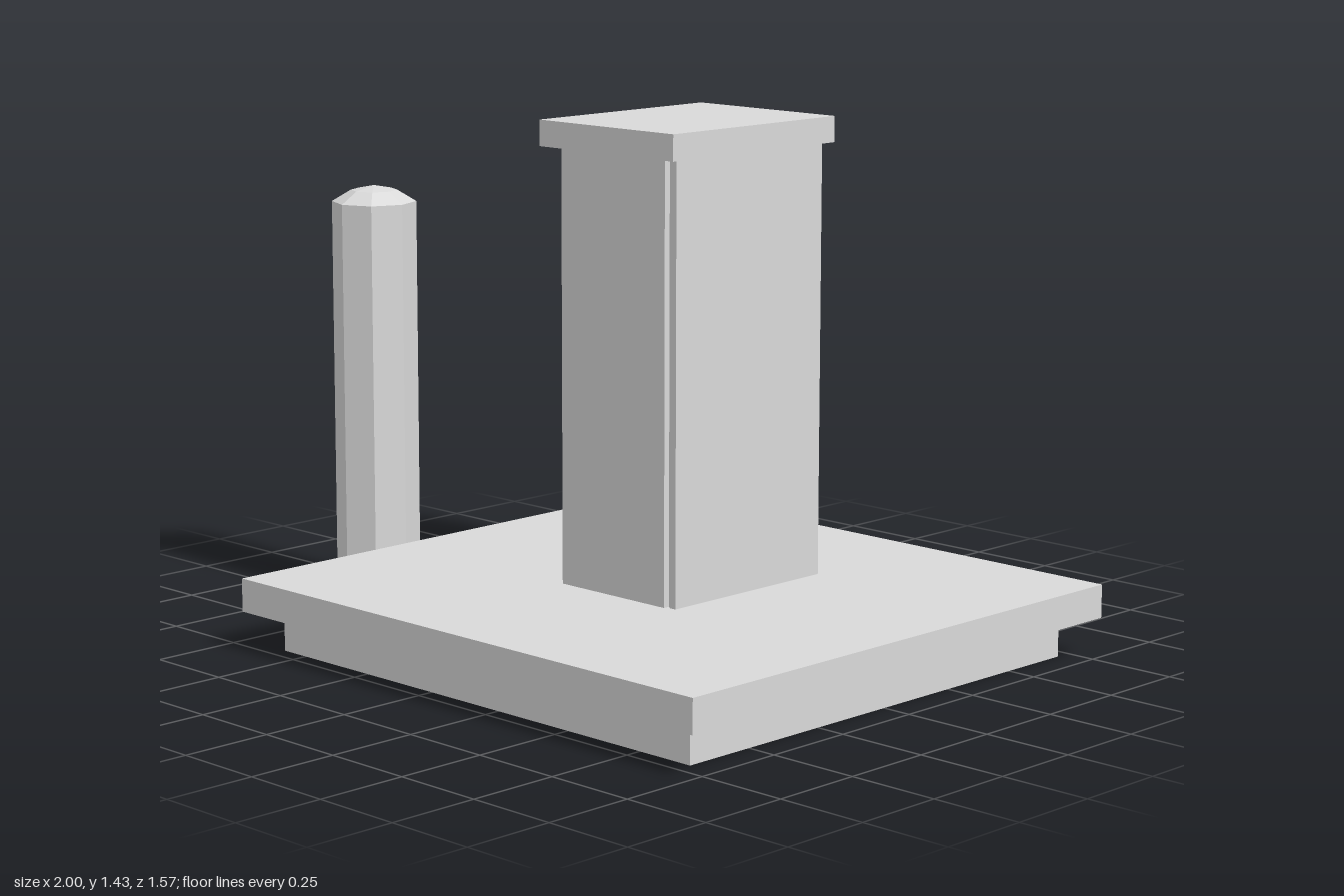
import * as THREE from 'three';

const grey = new THREE.MeshStandardMaterial({ color: 0xd9d9d9, side: THREE.DoubleSide, flatShading: true });
grey.name = 'concrete grey';

function add(parent, name, geometry) {
  const mesh = new THREE.Mesh(geometry, grey);
  mesh.name = name;
  parent.add(mesh);
  return mesh;
}

// Box given by its limits on each axis
function box(parent, name, [x0, x1], [y0, y1], [z0, z1]) {
  const g = new THREE.BoxGeometry(x1 - x0, y1 - y0, z1 - z0);
  g.translate((x0 + x1) / 2, (y0 + y1) / 2, (z0 + z1) / 2);
  return add(parent, name, g);
}

// Leaves out box faces, numbered +x, -x, +y, -y, +z, -z
function openFaces(mesh, ...omitted) {
  const index = Array.from(mesh.geometry.index.array);
  mesh.geometry.setIndex(index.filter((v, i) => !omitted.includes(Math.floor(i / 6))));
  mesh.geometry.clearGroups();
}

// Box along x whose end sections differ: [half height, half width]
function taperedBox(parent, name, x0, x1, back, front) {
  const g = new THREE.BoxGeometry(1, 2, 2);
  const p = g.attributes.position;
  for (let i = 0; i < p.count; i++) {
    const atFront = p.getX(i) > 0;
    const [h, w] = atFront ? front : back;
    p.setXYZ(i, atFront ? x1 : x0, p.getY(i) * h, p.getZ(i) * w);
  }
  g.computeVertexNormals();
  return add(parent, name, g);
}

function lathe(parent, name, points, sides) {
  return add(parent, name, new THREE.LatheGeometry(points.map(([r, y]) => new THREE.Vector2(r, y)), sides));
}

export function createModel() {
  const model = new THREE.Group();
  model.name = 'pedestalSite';

  // Base: four plinth walls under a wider slab that is hollow from below
  const plinth = box(model, 'plinth', [-0.586, 0.918], [0, 0.107], [-0.706, 0.706]);
  openFaces(plinth, 2, 3);
  const slab = box(model, 'slab', [-0.667, 1], [0.107, 0.198], [-0.783, 0.783]);
  openFaces(slab, 3);

  // Cabinet: body, recessed seam, door on the left side, overhanging lid
  const cabinet = new THREE.Group();
  cabinet.name = 'cabinet';
  model.add(cabinet);
  box(cabinet, 'cabinetBody', [-0.02, 0.355], [0.182, 1.365], [-0.31, 0.218]);
  box(cabinet, 'doorSeam', [0.355, 0.366], [0.182, 1.36], [-0.3, 0.2]);
  box(cabinet, 'cabinetDoor', [0.366, 0.387], [0.182, 1.36], [-0.34, 0.209]);
  box(cabinet, 'cabinetLid', [-0.063, 0.42], [1.363, 1.432], [-0.351, 0.255]);

  // Bollard: open octagonal tube with a shallow dome
  const bollard = lathe(model, 'bollard',
    [[0.118, 0], [0.118, 1.13], [0.065, 1.162], [0, 1.175]], 8);
  bollard.position.set(-0.882, 0, 0.113);

  // Post with flared foot
  const post = lathe(model, 'post',
    [[0.06, 0.198], [0.059, 0.208], [0.042, 0.22], [0.038, 0.235], [0.038, 0.985]], 10);
  post.position.set(-0.435, 0, -0.527);

  // Cable rising beside the post into a small fitting
  const path = new THREE.CatmullRomCurve3([
    [-0.437, 0.198, -0.464], [-0.437, 0.7, -0.463],
    [-0.43, 0.8, -0.463], [-0.412, 0.87, -0.463], [-0.415, 0.93, -0.462],
  ].map((p) => new THREE.Vector3(...p)));
  add(model, 'cable', new THREE.TubeGeometry(path, 24, 0.011, 6));
  box(model, 'cableFitting', [-0.465, -0.387], [0.915, 0.975], [-0.487, -0.437]);
  const collar = lathe(model, 'cableCollar', [[0.012, 0.893], [0.022, 0.915]], 8);
  collar.position.set(-0.415, 0, -0.462);

  // Tilted head: tapering housing and a bevelled front panel
  const head = new THREE.Group();
  head.name = 'head';
  head.position.set(-0.331, 1.12, -0.53);
  head.rotation.z = THREE.MathUtils.degToRad(10);
  model.add(head);
  taperedBox(head, 'headHousing', -0.188, -0.016, [0.131, 0.102], [0.148, 0.115]);
  taperedBox(head, 'panelRim', -0.016, 0.006, [0.155, 0.124], [0.155, 0.124]);
  taperedBox(head, 'panelFace', 0.006, 0.02, [0.155, 0.124], [0.142, 0.111]);

  return model;
}
